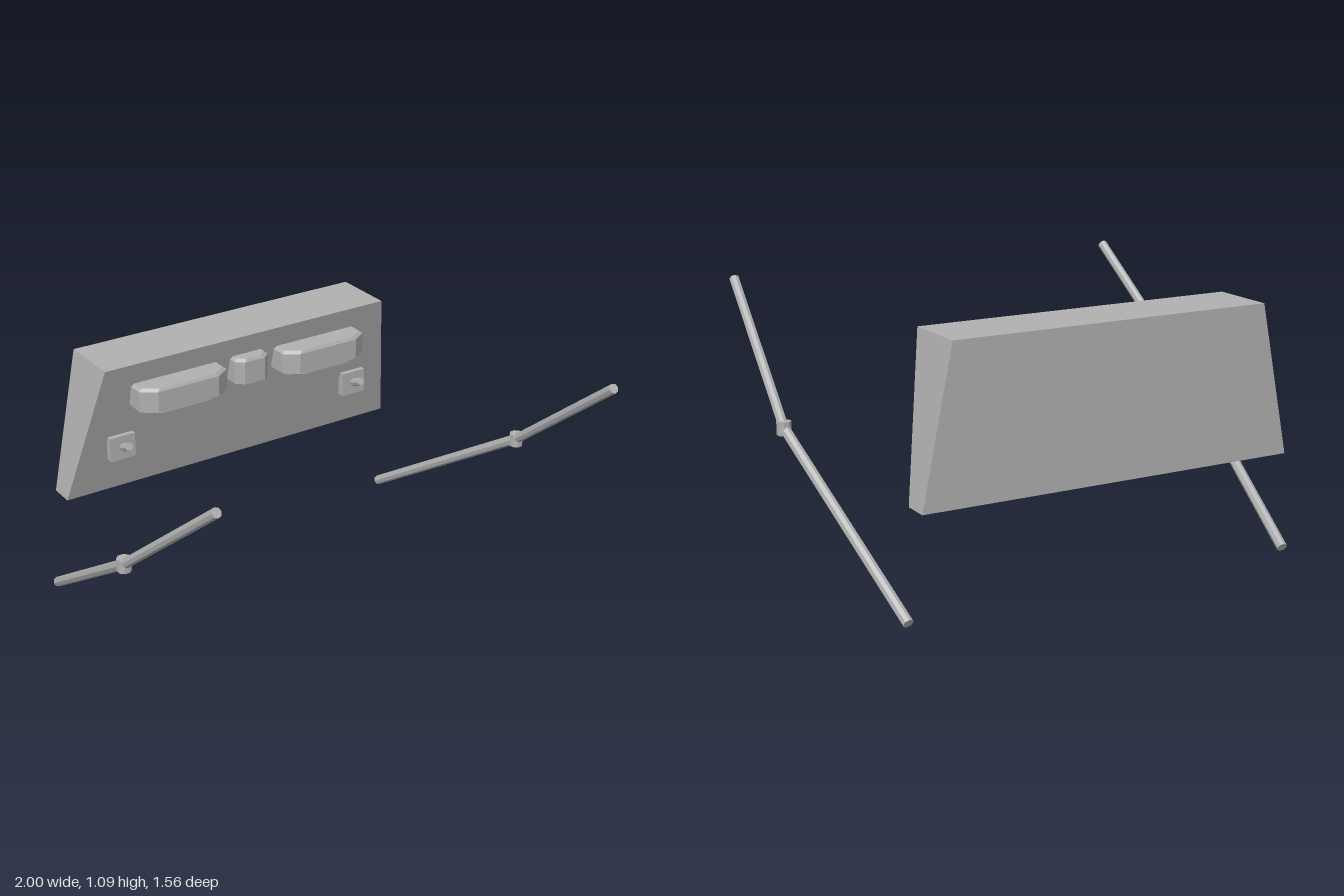
import * as THREE from 'three';

const grey = new THREE.MeshStandardMaterial({ color: 0xb0b0b0, flatShading: true });
grey.name = 'plain grey';

function add(parent, name, geometry) {
  const mesh = new THREE.Mesh(geometry, grey);
  mesh.name = name;
  parent.add(mesh);
  return mesh;
}

// Closed solid from stacked rings; each ring runs from +z towards +x (counter-clockwise from above)
function loft(rings) {
  const n = rings[0].length, pos = rings.flat(2), idx = [];
  for (let r = 0; r < rings.length - 1; r++) {
    for (let i = 0; i < n; i++) {
      const a = r * n + i, b = r * n + (i + 1) % n;
      idx.push(a, b, b + n, a, b + n, a + n);
    }
  }
  const top = (rings.length - 1) * n;
  for (let i = 1; i < n - 1; i++) {
    idx.push(0, i + 1, i, top, top + i, top + i + 1);
  }
  const g = new THREE.BufferGeometry();
  g.setAttribute('position', new THREE.Float32BufferAttribute(pos, 3));
  g.setIndex(idx);
  const flat = g.toNonIndexed();
  flat.computeVertexNormals();
  return flat;
}

// Round bar between two points
function bar(parent, name, from, to, radius, sides = 8) {
  const a = new THREE.Vector3(...from), b = new THREE.Vector3(...to);
  const dir = b.clone().sub(a);
  const mesh = add(parent, name, new THREE.CylinderGeometry(radius, radius, dir.length(), sides));
  mesh.position.copy(a).add(b).multiplyScalar(0.5);
  mesh.quaternion.setFromUnitVectors(new THREE.Vector3(0, 1, 0), dir.normalize());
}

// Pod with cut front corners, a bevelled top and a narrower base plate
function pod(parent, name, x, half, cut, zSide, zFront, y0, y1, baseInset) {
  const ring = (y, inset) => {
    const h = half - inset, f = zFront - inset * 0.5, s = zSide - inset * 0.5;
    return [[-h, -0.58], [-h, s], [-h + cut, f], [h - cut, f], [h, s], [h, -0.58]]
      .map(([px, z]) => [x + px, y, z]);
  };
  add(parent, name, loft([ring(y0, 0), ring(y1 - 0.012, 0), ring(y1, 0.014)]));
  add(parent, name + 'Base', loft([ring(0.86, baseInset), ring(y0 + 0.005, baseInset)]));
}

export function createModel() {
  const model = new THREE.Group();
  model.name = 'panelWithArms';

  // Tapered panel, leaning forward at the top
  const quad = (y, w, front) => [[-w, y, -0.78], [-w, y, front], [w, y, front], [w, y, -0.78]];
  add(model, 'panel', loft([quad(0.445, 0.82, -0.67), quad(1.075, 0.69, -0.5)]));

  // Pods on the panel
  pod(model, 'centrePod', 0, 0.083, 0.033, -0.49, -0.46, 0.872, 0.985, 0.035);
  for (const side of [1, -1]) {
    const name = side > 0 ? 'left' : 'right';
    pod(model, name + 'Pod', side * 0.35, 0.21, 0.065, -0.46, -0.417, 0.875, 0.978, 0.027);

    // Small square plate with a slanted peg
    const plate = add(model, name + 'Plate', new THREE.BoxGeometry(0.118, 0.108, 0.034));
    plate.position.set(side * 0.592, 0.676, -0.587);
    bar(model, name + 'Peg', [side * 0.592, 0.668, -0.59], [side * 0.592, 0.703, -0.514], 0.018);

    // Bent arm with a joint
    const arm = new THREE.Group();
    arm.name = name + 'Arm';
    const joint = [side * 0.972, 0.576, 0.135];
    bar(arm, 'rearBar', [side * 0.862, 0.022, -0.737], joint, 0.022);
    bar(arm, 'frontBar', joint, [side * 0.92, 1.075, 0.765], 0.021);
    const knuckle = add(arm, 'joint', new THREE.CylinderGeometry(0.03, 0.03, 0.056, 8));
    knuckle.rotation.y = Math.PI / 8;
    knuckle.position.set(...joint);
    model.add(arm);
  }
  return model;
}
